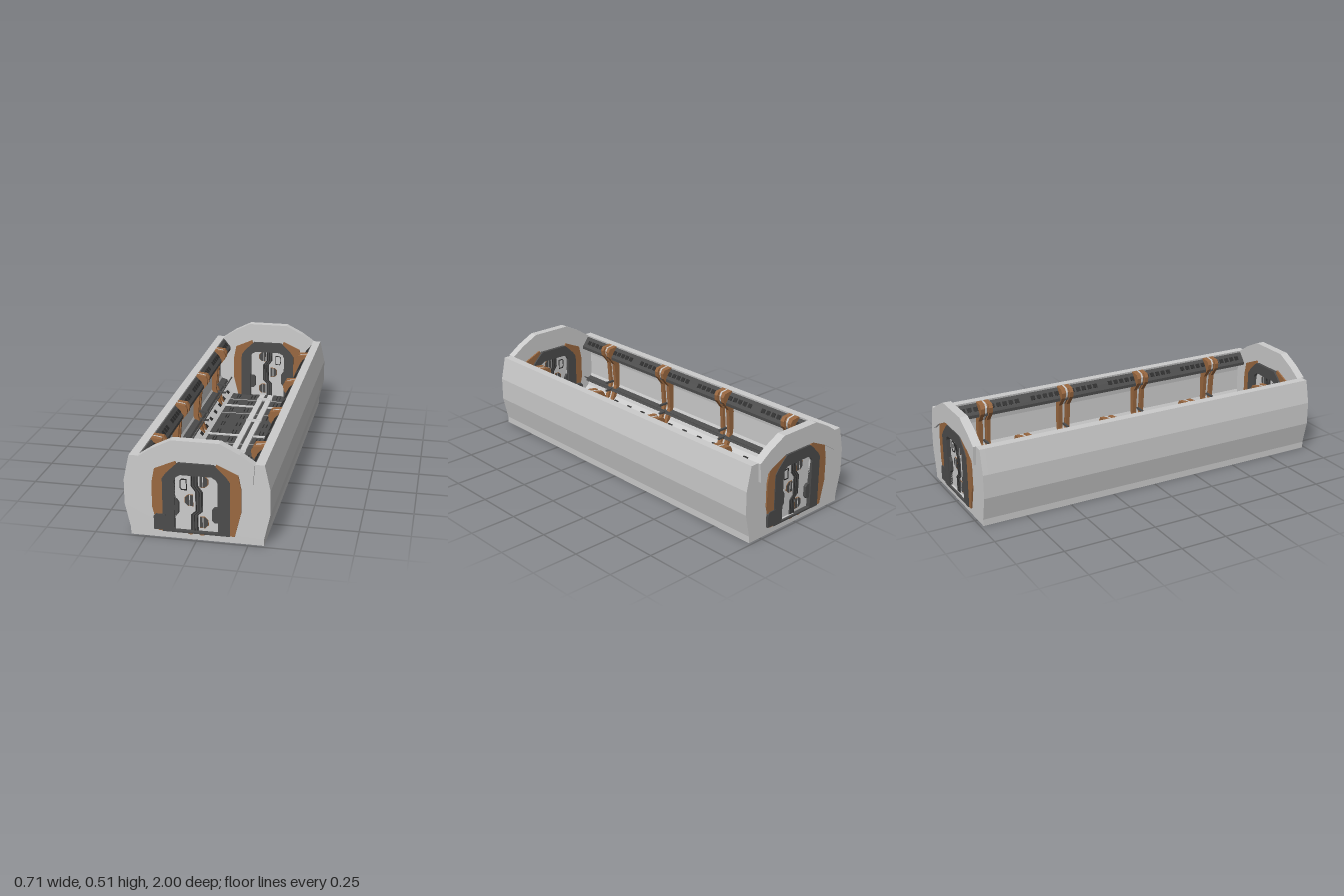
import * as THREE from 'three';
import { mergeGeometries } from 'three/addons/utils/BufferGeometryUtils.js';

const mat = (color) => new THREE.MeshStandardMaterial({ color, flatShading: true });
const GREY = mat(0xcccccc), DARK = mat(0x4c4c4c), BLACK = mat(0x2c2c2c), BROWN = mat(0x9a6840);

const flip = (pts) => pts.map(([x, y]) => [-x, y]).reverse();
// closes a half outline (bottom to top on +x) with its mirror image
const both = (pts) => [...pts, ...flip(pts)];
const vec = (pts) => pts.map(([x, y]) => new THREE.Vector2(x, y));

// cross-section in x/y extruded from z0 to z1
function slab(name, pts, z0, z1, material, hole) {
  const shape = new THREE.Shape(vec(pts));
  if (hole) shape.holes.push(new THREE.Path(vec(hole)));
  const geo = new THREE.ExtrudeGeometry(shape, { depth: z1 - z0, bevelEnabled: false });
  geo.translate(0, 0, z0);
  const mesh = new THREE.Mesh(geo, material);
  mesh.name = name;
  return mesh;
}

// many boxes in one mesh; each is [w, h, d, x, y, z, tilt]
function boxes(name, list, material) {
  const mesh = new THREE.Mesh(mergeGeometries(list.map(([w, h, d, x, y, z, tilt = 0]) =>
    new THREE.BoxGeometry(w, h, d).rotateZ(tilt).translate(x, y, z))), material);
  mesh.name = name;
  return mesh;
}

const rect = (x0, y0, x1, y1) => [[x0, y0], [x1, y0], [x1, y1], [x0, y1]];
const SIDE = [[0.325, 0], [0.325, 0.035], [0.353, 0.16], [0.353, 0.285], [0.325, 0.412]];
const INNER = [[0.28, 0.412], [0.3, 0.285], [0.3, 0.16], [0.27, 0.09], [0.215, 0.04]];
const OPENING = both([[0.105, 0.045], [0.105, 0.305], [0.097, 0.322], [0.075, 0.335]]);

// one doorway end, facing +z
function makeEnd() {
  const end = new THREE.Group();
  end.name = 'doorwayEnd';
  const wall = both([...SIDE, [0.28, 0.412], [0.27, 0.405]]);
  end.add(slab('endWall', wall, 0.955, 0.985, GREY, OPENING));
  end.add(slab('roofArch', [
    ...both([[0.272, 0.312], [0.28, 0.412], [0.21, 0.46], [0.115, 0.508]]),
    [-0.2, 0.36], [-0.1, 0.405], [0.1, 0.405], [0.2, 0.36]], 0.955, 1, GREY));

  // coloured side trims behind the dark frame
  const trim = [[0.15, 0.037], [0.185, 0.037], [0.215, 0.16], [0.215, 0.285], [0.2, 0.36],
    [0.1, 0.405], [0.09, 0.38], [0.15, 0.32]];
  for (const pts of [trim, flip(trim)]) end.add(slab('doorTrim', pts, 0.946, 0.993, BROWN));

  end.add(slab('doorFrame', both([[0.163, 0.036], [0.163, 0.312], [0.145, 0.338], [0.103, 0.38],
    [0.085, 0.395]]), 0.936, 0.997, DARK, OPENING));
  end.add(slab('controlBox', [[-0.207, 0.044], [-0.15, 0.044], [-0.15, 0.125], [-0.197, 0.125],
    [-0.207, 0.113]], 0.93, 0.998, DARK));
  end.add(boxes('sillFeet', [-0.03, 0.027].map((x) => [0.02, 0.008, 0.05, x, 0.033, 0.967]), BROWN));

  // door leaf with its stepped centre seam
  end.add(slab('door', OPENING, 0.959, 0.975, GREY));
  const path = [[-0.011, 0.046], [-0.011, 0.127], [0.011, 0.147], [0.011, 0.247], [-0.011, 0.277], [-0.011, 0.334]];
  const band = (a, b) => [...path.map(([x, y]) => [x + b, y]), ...path.map(([x, y]) => [x + a, y]).reverse()];
  end.add(slab('doorSeam', band(-0.018, 0.018), 0.954, 0.98, DARK));
  for (const c of [-0.013, 0, 0.013])
    end.add(slab('seamGroove', band(c - 0.002, c + 0.002), 0.9525, 0.9815, BLACK));

  // half-hexagon latches
  for (const [x, y, s] of [[0.014, 0.3, 1], [0.014, 0.09, 1], [-0.018, 0.2, -1]]) {
    const plate = (g) => {
      const pts = [[0, g - 0.03], [0.025, g - 0.03], [0.042 - g, -0.013], [0.042 - g, 0.013], [0.025, 0.03 - g], [0, 0.03 - g]];
      return (s > 0 ? pts : flip(pts)).map(([px, py]) => [px + x, py + y]);
    };
    end.add(slab('latchTrim', plate(0), 0.957, 0.977, BROWN));
    end.add(slab('latch', plate(0.003), 0.955, 0.979, DARK));
    end.add(boxes('latchSlit', [[0.004, 0.054, 0.026, x + s * 0.016, y, 0.967]], GREY));
  }
  end.add(slab('doorWindow', [[-0.075, 0.25], [-0.048, 0.25], [-0.048, 0.308], [-0.075, 0.308], [-0.083, 0.298],
    [-0.083, 0.263]], 0.956, 0.978, BLACK,
    [[-0.073, 0.255], [-0.052, 0.255], [-0.052, 0.303], [-0.073, 0.303], [-0.079, 0.296], [-0.079, 0.265]]));
  end.add(slab('jambGrip', [[-0.11, 0.12], [-0.097, 0.12], [-0.086, 0.135], [-0.086, 0.188], [-0.097, 0.206],
    [-0.11, 0.206]], 0.945, 0.99, DARK));
  end.add(slab('jambGrip', [[0.11, 0.098], [0.11, 0.176], [0.085, 0.176], [0.076, 0.165], [0.076, 0.11],
    [0.087, 0.098]], 0.945, 0.99, DARK));
  return end;
}

// wall fittings of the +x side
function makeSide() {
  const side = new THREE.Group();
  side.name = 'sideFittings';
  side.add(slab('ventBand', [[0.295, 0.32], [0.285, 0.402], [0.278, 0.402], [0.238, 0.352], [0.238, 0.335]],
    -0.955, 0.955, DARK));
  side.add(slab('lowerDuct', [[0.295, 0.145], [0.262, 0.135], [0.255, 0.122], [0.27, 0.112]], -0.955, 0.955, DARK));

  const vents = [], slots = [];
  for (let i = 0; i < 8; i++) {
    const z = -0.84 + i * 0.24;
    for (let k = -2; k <= 2; k++) vents.push([0.024, 0.006, 0.024, 0.258, 0.377, z + k * 0.036, 0.896]);
    for (const k of [-0.06, 0.06]) slots.push([0.022, 0.004, 0.036, 0.246, 0.068, z + k, 0.738]);
  }
  side.add(boxes('vents', vents, BLACK), boxes('wallSlots', slots, BLACK));

  // handrail on the lower wall
  const rail = new THREE.Mesh(new THREE.CylinderGeometry(0.004, 0.004, 1.86, 6).rotateX(Math.PI / 2), DARK);
  rail.position.set(0.226, 0.16, 0);
  rail.name = 'handrail';
  side.add(rail);

  // ribs: two raised strips with a recessed core and a light centre line
  const rib = (d) => [[0.29, 0.041], [0.305, 0.16], [0.305, 0.285], [0.283, 0.411], [0.228 + d, 0.405],
    [0.216 + d, 0.385], [0.22 + d, 0.355], [0.262 + d, 0.3], [0.274 + d, 0.16], [0.23 + d, 0.041]];
  for (const z of [-0.72, -0.24, 0.24, 0.72]) {
    side.add(slab('ribCore', rib(0.012), z - 0.034, z + 0.034, BROWN));
    for (const s of [-1, 1]) side.add(slab('ribStrip', rib(0), z + s * 0.024 - 0.011, z + s * 0.024 + 0.011, BROWN));
    side.add(slab('ribLine', rib(0.009), z - 0.005, z + 0.005, GREY));
    for (const y of [0.13, 0.18]) side.add(boxes('railBracket', [[0.06, 0.01, 0.012, 0.25, y, z]], DARK));
  }
  return side;
}

// deck with centre walkway strips
function makeFloor() {
  const floor = new THREE.Group();
  floor.name = 'floor';
  floor.add(boxes('deck', [[0.44, 0.012, 1.9, 0, 0.04, 0]], DARK));
  const strips = [-1, 1].map((s) => [0.032, 0.012, 1.86, s * 0.026, 0.05, 0]);
  const bars = [], slots = [], seams = [], clips = [];
  for (const z of [-0.72, -0.24, 0.24, 0.72])
    for (const s of [-1, 1]) bars.push([0.19, 0.008, 0.016, s * 0.13, 0.049, z]);
  for (const z of [-0.84, -0.6, -0.12, 0.12, 0.36, 0.6, 0.84]) seams.push([0.44, 0.003, 0.005, 0, 0.046, z]);
  for (let i = 0; i < 16; i++) {
    const z = -0.9 + i * 0.12;
    for (const x of [0.07, 0.09, 0.165, 0.18])
      for (const s of [-1, 1]) slots.push([0.006, 0.003, 0.055, s * x, 0.046, z]);
  }
  for (const z of [-0.85, -0.48, 0, 0.48, 0.85])
    for (const k of [-0.01, 0.01]) clips.push([0.09, 0.01, 0.008, 0, 0.054, z + k]);
  floor.add(boxes('walkwayStrips', strips, GREY), boxes('crossBars', bars, GREY), boxes('deckSeams', seams, GREY),
    boxes('deckSlots', slots, BLACK), boxes('walkwayClips', clips, GREY));
  return floor;
}

export function createModel() {
  const model = new THREE.Group();
  model.name = 'corridorSection';
  // open trough: outer side, inner wall, then the mirrored half
  const half = [...SIDE, ...INNER];
  model.add(slab('shell', both(half), -0.955, 0.955, GREY));

  const front = makeEnd(), back = makeEnd();
  back.rotation.y = Math.PI;
  const left = makeSide(), right = makeSide();
  right.rotation.y = Math.PI;
  model.add(front, back, left, right, makeFloor());
  return model;
}
